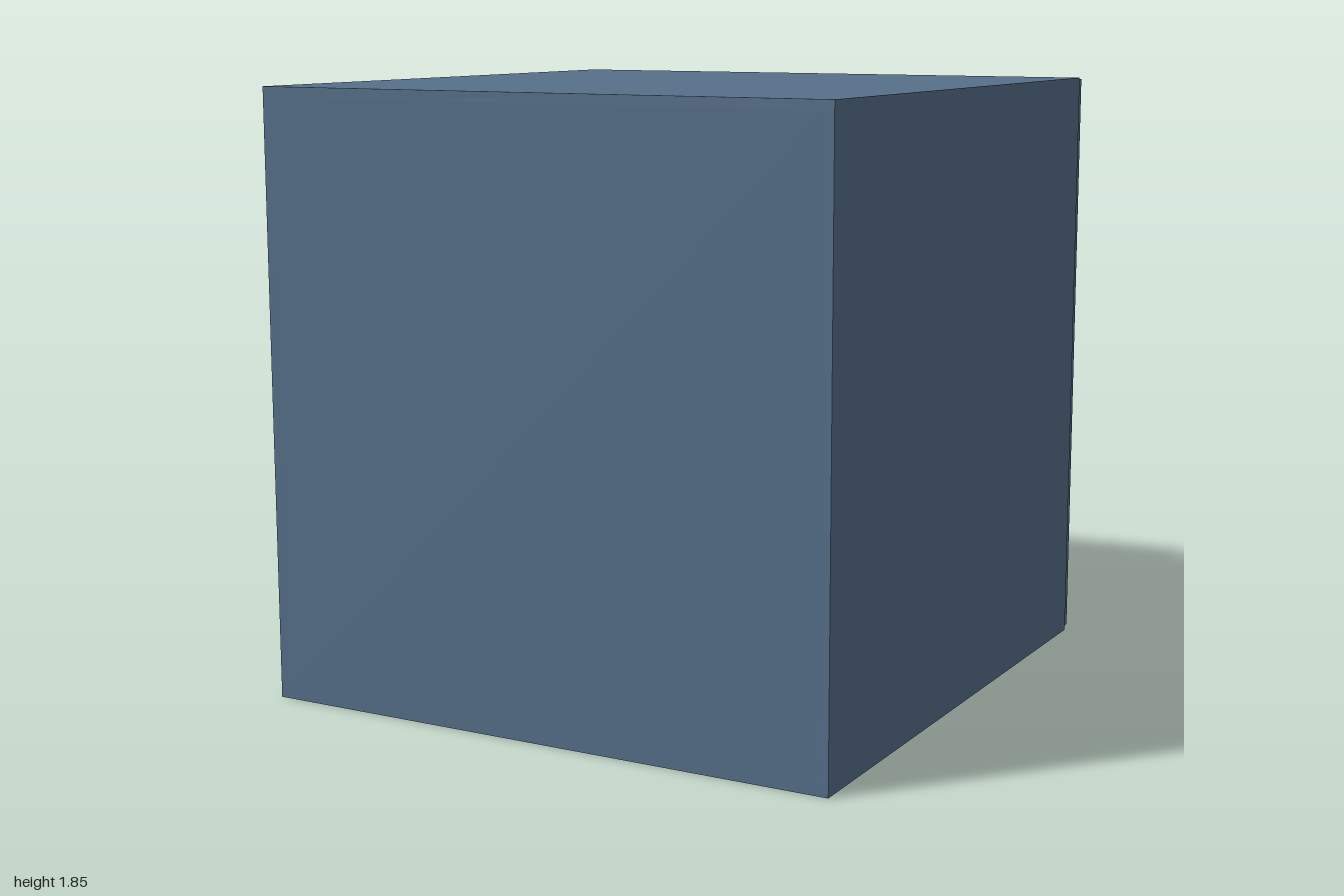
import * as THREE from 'three';

const W = 1.84, H = 1.845, BACK = 1, FRONT = -0.845, T = 0.03;
const DOOR = { w: 0.907, h: 1.83, t: 0.028 };

export function createModel() {
  const model = new THREE.Group();
  const paint = new THREE.MeshStandardMaterial({ color: 0x56708a });
  const metal = new THREE.MeshStandardMaterial({ color: 0x444240 });

  const addBox = (parent, name, size, pos) => {
    const mesh = new THREE.Mesh(new THREE.BoxGeometry(...size), paint);
    mesh.name = name;
    mesh.position.set(...pos);
    parent.add(mesh);
  };

  // Hollow carcass, open towards -z
  const carcass = new THREE.Group();
  carcass.name = 'carcass';
  const depth = BACK - FRONT, midZ = (BACK + FRONT) / 2;
  addBox(carcass, 'bottomPanel', [W, T, depth], [0, T / 2, midZ]);
  addBox(carcass, 'topPanel', [W, T, depth], [0, H - T / 2, midZ]);
  for (const s of [-1, 1])
    addBox(carcass, s > 0 ? 'leftPanel' : 'rightPanel',
      [T, H - 2 * T, depth], [s * (W - T) / 2, H / 2, midZ]);
  addBox(carcass, 'closedPanel', [W - 2 * T, H - 2 * T, T], [0, H / 2, BACK - T / 2]);
  model.add(carcass);

  // Turned knob: flared foot, narrow neck, flat round head
  const knobProfile = [
    [0, 0], [0.034, 0], [0.031, 0.006], [0.02, 0.02], [0.02, 0.026],
    [0.034, 0.039], [0.034, 0.054], [0.031, 0.057], [0, 0.057],
  ].map(([r, y]) => new THREE.Vector2(r, y));
  const knobGeometry = new THREE.LatheGeometry(knobProfile, 24);

  // Each door pivots about its hinge edge; side is the x sign of the hinge
  const addDoor = (name, side, hingeX, knobX, angle) => {
    const door = new THREE.Group();
    door.name = name;
    door.position.set(hingeX, 0, -0.857);
    door.rotation.y = -side * angle;
    addBox(door, name + 'Panel', [DOOR.w, DOOR.h, DOOR.t],
      [-side * DOOR.w / 2, H / 2 + 0.002, -DOOR.t / 2]);
    const knob = new THREE.Mesh(knobGeometry, metal);
    knob.name = name + 'Knob';
    knob.rotation.x = -Math.PI / 2;
    knob.position.set(-side * knobX, 1.05, -DOOR.t);
    door.add(knob);
    model.add(door);
  };
  addDoor('closedDoor', 1, 0.912, 0.8, 0);
  addDoor('openDoor', -1, -0.919, 0.74, THREE.MathUtils.degToRad(4.7));

  return model;
}
